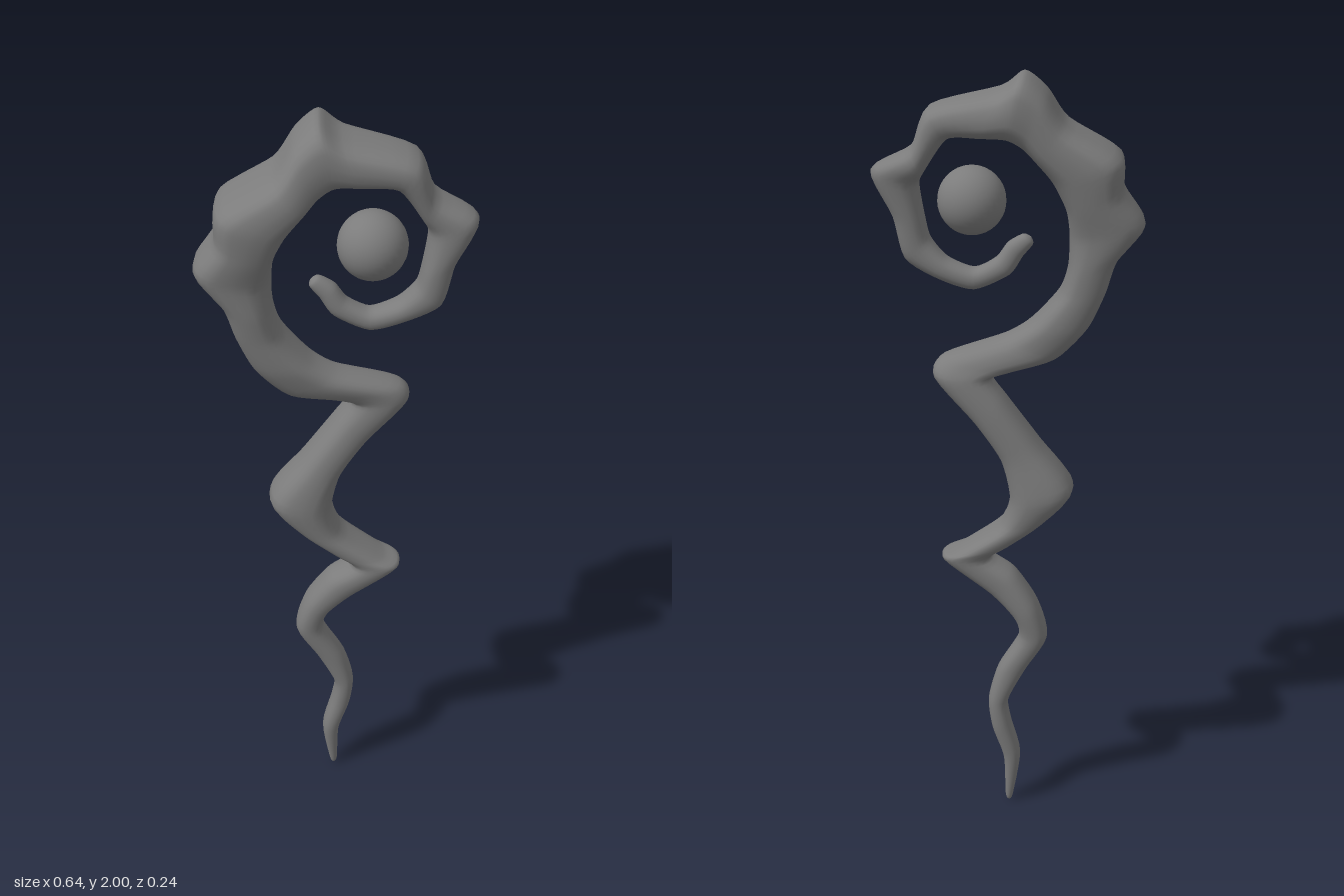
import * as THREE from 'three';

const SIDES = 24, STEPS = 5;

// Stations along the stem: left edge x, y, right edge x, y, depth centre, half depth
const shaft = [
  [-0.005, 0, -0.005, 0, -0.01, 0],
  [-0.015, 0.02, 0.005, 0.02, -0.01, 0.012],
  [-0.035, 0.16, 0.01, 0.15, -0.01, 0.03],
  [-0.01, 0.27, 0.04, 0.25, -0.015, 0.035],
  [-0.003, 0.34, 0.05, 0.34, -0.015, 0.036],
  [-0.05, 0.44, 0.025, 0.44, -0.015, 0.038],
  [-0.105, 0.54, -0.03, 0.54, -0.015, 0.043],
  [-0.08, 0.64, -0.018, 0.6, -0.015, 0.05],
  [-0.02, 0.73, 0.045, 0.67, -0.01, 0.053],
  [0.04, 0.775, 0.168, 0.77, -0.01, 0.056],
  [-0.02, 0.825, 0.125, 0.797, -0.015, 0.06],
  [-0.095, 0.89, 0.02, 0.875, -0.02, 0.068],
  [-0.167, 0.985, -0.008, 0.955, -0.025, 0.08],
  [-0.085, 1.1, 0.015, 1.06, -0.025, 0.068],
  [0, 1.22, 0.08, 1.16, -0.03, 0.062],
  [0.035, 1.275, 0.177, 1.275, -0.03, 0.058],
  [-0.02, 1.292, 0.155, 1.325, -0.02, 0.055],
];
const hook = [
  [-0.12, 1.32, 0.01, 1.372, 0, 0.06],
  [-0.195, 1.4, -0.055, 1.41, 0.005, 0.072],
  [-0.235, 1.49, -0.122, 1.485, 0.005, 0.078],
  [-0.26, 1.57, -0.143, 1.55, 0.005, 0.085],
  [-0.322, 1.655, -0.145, 1.625, 0.003, 0.09],
  [-0.272, 1.735, -0.137, 1.69, 0.005, 0.105],
  [-0.262, 1.815, -0.105, 1.755, 0.005, 0.115],
  [-0.14, 1.888, -0.065, 1.805, 0, 0.112],
  [-0.09, 1.96, -0.035, 1.835, -0.01, 0.105],
  [-0.038, 2, 0, 1.853, -0.018, 0.102],
  [0.015, 1.965, 0.06, 1.855, -0.015, 0.094],
  [0.18, 1.92, 0.135, 1.85, -0.007, 0.078],
  [0.222, 1.83, 0.193, 1.77, -0.01, 0.066],
  [0.319, 1.772, 0.207, 1.735, 0, 0.056],
  [0.272, 1.665, 0.195, 1.65, 0.005, 0.05],
  [0.245, 1.56, 0.183, 1.607, 0.005, 0.045],
  [0.165, 1.512, 0.143, 1.563, 0, 0.038],
  [0.08, 1.487, 0.08, 1.54, 0, 0.032],
  [-0.005, 1.525, 0.028, 1.566, 0, 0.028],
  [-0.036, 1.57, 0, 1.603, 0, 0.024],
  [-0.06, 1.6, -0.036, 1.624, 0, 0.016],
  [-0.055, 1.618, -0.055, 1.618, 0, 0],
];

// Smooth blend of one station value, with firm corners
function blend(p0, p1, p2, p3, t) {
  const k = 0.36, a = (p2 - p0) * k, b = (p3 - p1) * k, t2 = t * t, t3 = t2 * t;
  return (2 * t3 - 3 * t2 + 1) * p1 + (t3 - 2 * t2 + t) * a + (3 * t2 - 2 * t3) * p2 + (t3 - t2) * b;
}

function sweep(stations) {
  const pos = [], index = [], last = stations.length - 1;
  const at = (i) => stations[Math.min(last, Math.max(0, i))];
  const rings = last * STEPS + 1;
  for (let r = 0; r < rings; r++) {
    const i = Math.min(last - 1, Math.floor(r / STEPS)), t = r / STEPS - i;
    const [lx, ly, rx, ry, zc, d] = at(i).map((v, k) => blend(at(i - 1)[k], v, at(i + 1)[k], at(i + 2)[k], t));
    // Deeper parts have a squarer cross-section
    const power = 1 - 3 * Math.max(0, d);
    const square = (v) => Math.sign(v) * Math.abs(v) ** power;
    for (let j = 0; j < SIDES; j++) {
      const a = (j / SIDES) * Math.PI * 2, c = square(Math.cos(a));
      pos.push((lx + rx + (rx - lx) * c) / 2, (ly + ry + (ry - ly) * c) / 2, zc - d * square(Math.sin(a)));
      if (r < rings - 1) {
        const p = r * SIDES + j, q = r * SIDES + ((j + 1) % SIDES);
        index.push(p, q, q + SIDES, p, q + SIDES, p + SIDES);
      }
    }
  }
  const geo = new THREE.BufferGeometry();
  geo.setAttribute('position', new THREE.Float32BufferAttribute(pos, 3));
  geo.setIndex(index);
  geo.computeVertexNormals();
  return geo;
}

export function createModel() {
  const group = new THREE.Group();
  const material = new THREE.MeshStandardMaterial({ color: 0x7c7c7c });

  // Crooked shaft running up into the curled head
  const stem = new THREE.Mesh(sweep([...shaft, ...hook]), material);
  stem.name = 'twistedStaff';

  // Floating orb inside the curl
  const orb = new THREE.Mesh(new THREE.SphereGeometry(0.081, 32, 20), material);
  orb.name = 'orb';
  orb.position.set(0.084, 1.702, 0);

  group.add(stem, orb);
  return group;
}
